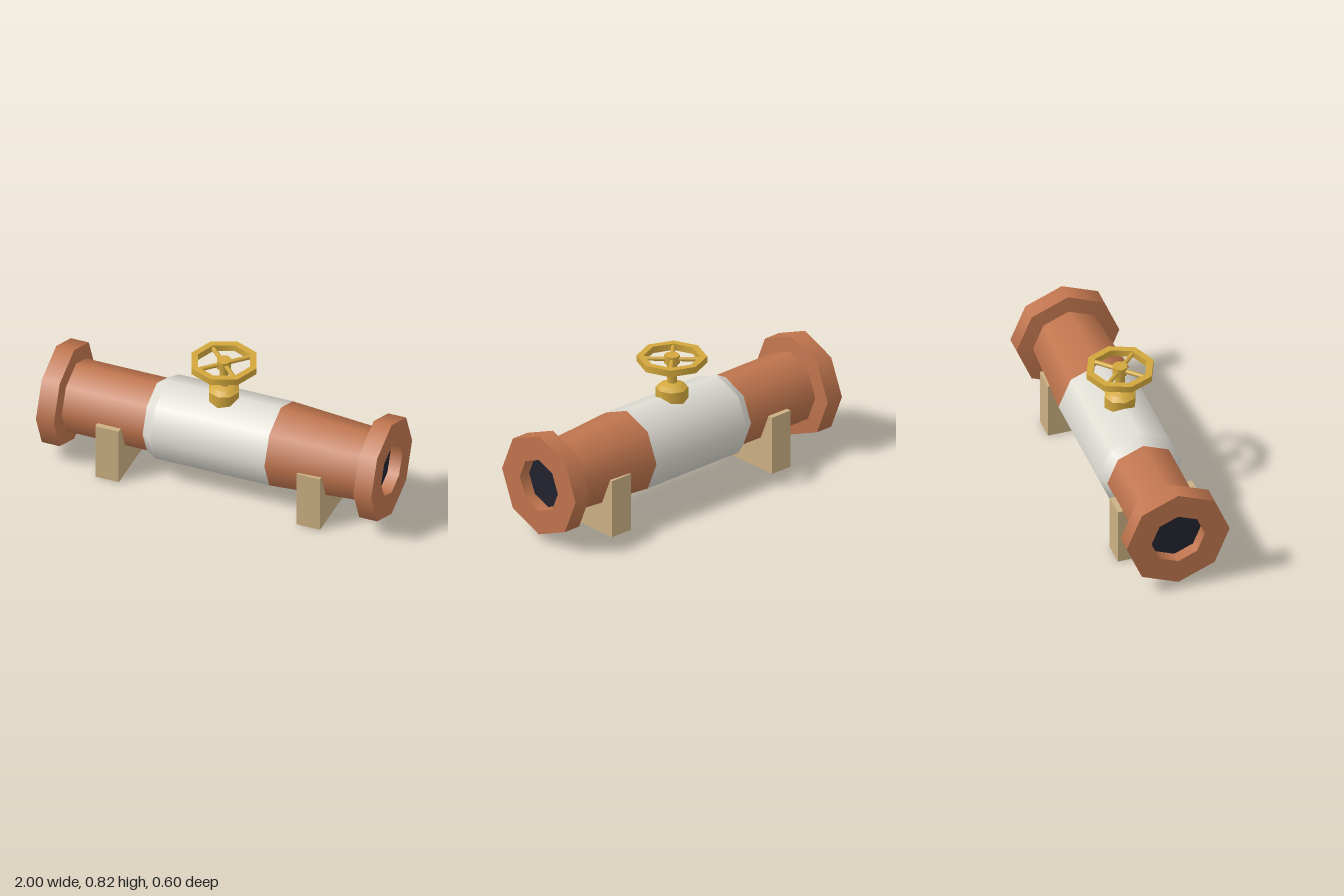
import * as THREE from 'three';
import { mergeGeometries } from 'three/addons/utils/BufferGeometryUtils.js';

const SIDES = 8;
const AXIS_Y = 0.34; // height of the pipe's centre line

function material(name, color) {
  const m = new THREE.MeshStandardMaterial({ color });
  m.name = name;
  return m;
}

// Turned octagonal form: smooth around, sharp between profile segments.
function turned(profile) {
  const bands = [];
  for (let i = 0; i < profile.length - 1; i++) {
    const pair = [profile[i], profile[i + 1]].map(([r, y]) => new THREE.Vector2(r, y));
    bands.push(new THREE.LatheGeometry(pair, SIDES));
  }
  return mergeGeometries(bands);
}

export function createModel() {
  const group = new THREE.Group();
  const copper = material('copper', 0xc0754e);
  const white = material('off white', 0xdedcd3);
  const brass = material('brass', 0xd2a73c);
  const tan = material('tan', 0xccb083);
  const dark = material('dark bore', 0x23232f);

  const add = (name, geometry, mat, parent = group) => {
    const mesh = new THREE.Mesh(geometry, mat);
    mesh.name = name;
    parent.add(mesh);
    return mesh;
  };

  // Pipe parts are turned along y, then laid along x
  const pipe = new THREE.Group();
  pipe.name = 'pipe';
  pipe.rotation.z = -Math.PI / 2;
  pipe.position.y = AXIS_Y;
  group.add(pipe);

  add('straightPipe', turned([[0.21, -0.9], [0.21, -0.4]]), copper, pipe);
  add('valveBody', turned([[0.21, -0.4], [0.243, -0.34], [0.243, 0.34]]), white, pipe);
  add('taperedPipe', turned([[0.243, 0.34], [0.207, 0.9]]), copper, pipe);

  // Flanges with a recessed dark bore at each end
  for (const side of [-1, 1]) {
    const end = new THREE.Group();
    end.name = side < 0 ? 'rightEnd' : 'leftEnd';
    if (side > 0) end.rotation.x = Math.PI;
    add('flange', turned([
      [0.155, -0.93], [0.155, -1], [0.3, -1], [0.3, -0.893], [0.205, -0.882],
    ]), copper, end);
    add('bore', turned([[0, -0.93], [0.155, -0.93]]), dark, end);
    pipe.add(end);
  }

  // Support blocks
  for (const x of [-0.6, 0.6]) {
    const support = add('support', new THREE.BoxGeometry(0.14, 0.343, 0.48), tan);
    support.position.set(x, 0.1715, 0);
  }

  // Bonnet and stem
  add('bonnet', turned([[0.09, 0.5], [0.09, 0.62], [0.06, 0.64], [0.028, 0.652], [0, 0.652]]), brass);
  add('stem', turned([[0.028, 0.64], [0.028, 0.78]]), brass);

  // Hand wheel
  const wheel = new THREE.Group();
  wheel.name = 'handWheel';
  wheel.position.y = 0.791;
  group.add(wheel);
  add('rim', turned([
    [0.155, -0.0195], [0.195, -0.0195], [0.195, 0.0195], [0.155, 0.0195], [0.155, -0.0195],
  ]), brass, wheel);
  add('hub', turned([[0, -0.025], [0.043, -0.025], [0.043, 0.025], [0, 0.025]]), brass, wheel);
  for (let i = 0; i < 4; i++) {
    const spoke = new THREE.CylinderGeometry(0.013, 0.013, 0.14, SIDES);
    spoke.rotateZ(Math.PI / 2).translate(0.09, 0, 0).rotateY(Math.PI / 4 + i * Math.PI / 2);
    add('spoke', spoke, brass, wheel);
  }
  return group;
}
